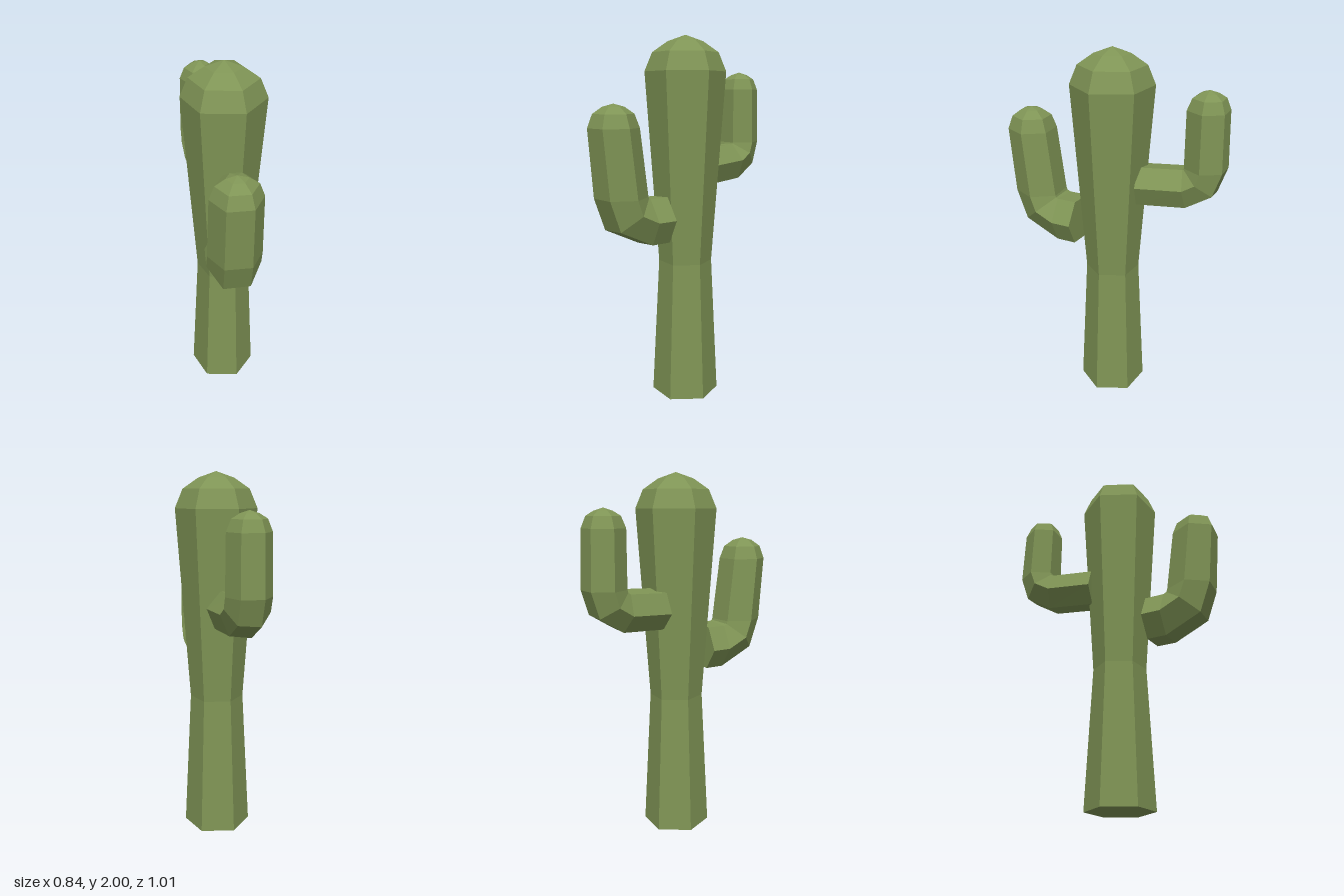
import * as THREE from 'three';

const SIDES = 6;
const material = new THREE.MeshStandardMaterial({ color: 0x7f9455, flatShading: true, roughness: 0.9 });

// Joins hexagonal rings (arrays of Vector3) into one closed skin
function loft(rings) {
  const index = [];
  for (let r = 0; r < rings.length - 1; r++) {
    for (let i = 0; i < SIDES; i++) {
      const j = (i + 1) % SIDES;
      const a = r * SIDES, b = a + SIDES;
      if (r < rings.length - 2) index.push(a + i, b + i, b + j);
      else index.push(a + i, b, a + j);
      if (r > 0 && r < rings.length - 2) index.push(a + i, b + j, a + j);
    }
  }
  const geometry = new THREE.BufferGeometry().setFromPoints(rings.flat());
  geometry.setIndex(index);
  geometry.computeVertexNormals();
  return geometry;
}

// An arm runs outward from the trunk, pivots upward at its inner corner and ends in a dome
function makeArm({ name, start, dir, phase, rStart, rTip, corner, angles, tip }) {
  const u = new THREE.Vector3(dir[0], 0, dir[1]).normalize();
  const side = new THREE.Vector3(-u.z, 0, u.x);
  const ring = (s, y, radius, bend) => {
    const out = u.clone().multiplyScalar(Math.sin(bend));
    out.y = -Math.cos(bend);
    return Array.from({ length: SIDES }, (_, i) => {
      const a = THREE.MathUtils.degToRad(phase) + (i / SIDES) * Math.PI * 2;
      return new THREE.Vector3(start[0], y, start[1])
        .addScaledVector(u, s)
        .addScaledVector(out, radius * Math.cos(a))
        .addScaledVector(side, radius * Math.sin(a));
    });
  };
  const rings = [ring(0, start[2], 0, 0), ring(0, start[2], rStart, 0)];
  for (const deg of angles) {
    const t = THREE.MathUtils.degToRad(deg);
    rings.push(ring(corner[0] + rStart * Math.sin(t), corner[1] - rStart * Math.cos(t), rStart, t));
  }
  for (const [y, scale] of tip.rings) rings.push(ring(tip.s, y, rTip * scale, Math.PI / 2));
  const mesh = new THREE.Mesh(loft(rings), material);
  mesh.name = name;
  return mesh;
}

export function createModel() {
  const group = new THREE.Group();
  group.name = 'cactus';

  // Waisted six-sided trunk with a domed top
  const profile = [[0, 0], [0.186, 0], [0.147, 0.77], [0.22, 1.81], [0.178, 1.91], [0.095, 1.967], [0, 2]];
  const trunk = new THREE.Mesh(
    new THREE.LatheGeometry(profile.map(([r, y]) => new THREE.Vector2(r, y)), SIDES), material);
  trunk.name = 'trunk';
  trunk.position.set(0.03, 0, 0.015);
  trunk.rotation.y = THREE.MathUtils.degToRad(-20.5);
  group.add(trunk);

  // Slimmer, higher arm at the back left
  group.add(makeArm({
    name: 'backArm', start: [0.1, -0.115, 1.28], dir: [0.59, -0.807], phase: -22,
    rStart: 0.117, rTip: 0.112, corner: [0.235, 1.41], angles: [8, 52, 90],
    tip: { s: 0.347, rings: [[1.715, 1], [1.775, 0.78], [1.8, 0.42], [1.815, 0]] },
  }));

  // Thicker, lower arm at the front right, leaning slightly outward
  group.add(makeArm({
    name: 'frontArm', start: [-0.085, 0.165, 1.03], dir: [-0.72, 0.71], phase: 26,
    rStart: 0.14, rTip: 0.132, corner: [0.11, 1.17], angles: [0, 50, 90],
    tip: { s: 0.289, rings: [[1.525, 1], [1.595, 0.8], [1.63, 0.42], [1.645, 0]] },
  }));

  return group;
}
